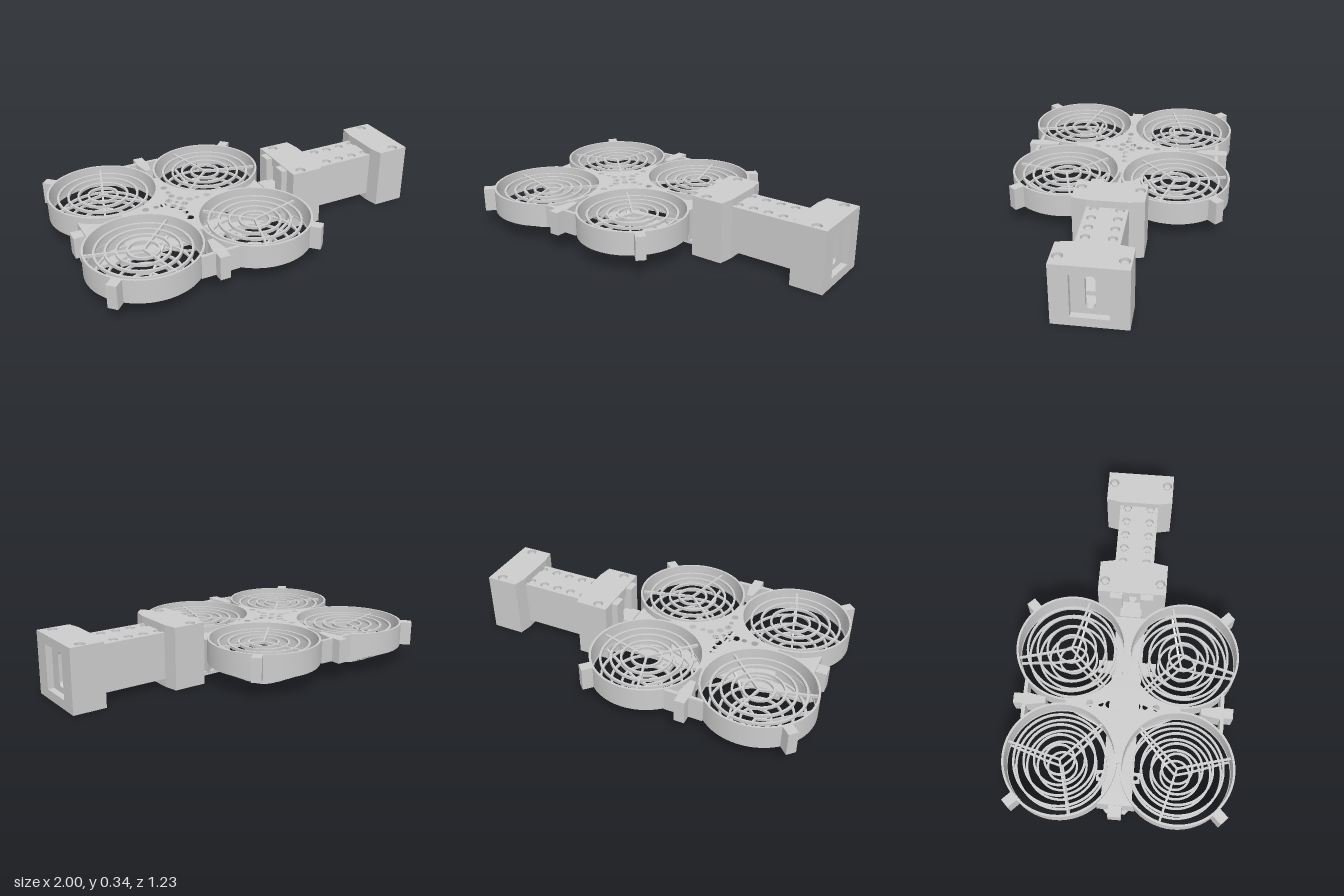
import * as THREE from 'three';
import { toCreasedNormals } from 'three/addons/utils/BufferGeometryUtils.js';

const MID = -0.3825, DX = 0.3125, DZ = 0.312, R = 0.305;

export function createModel() {
  const model = new THREE.Group();
  const mat = new THREE.MeshStandardMaterial({ color: 0xcccccc });

  const add = (geo, name, x = 0, y = 0, z = 0, parent = model) => {
    const m = new THREE.Mesh(geo, mat);
    m.name = name;
    m.position.set(x, y, z);
    parent.add(m);
    return m;
  };
  // box given by its limits on each axis
  const block = (name, x0, x1, y0, y1, z0, z1) =>
    add(new THREE.BoxGeometry(x1 - x0, y1 - y0, z1 - z0), name, (x0 + x1) / 2, (y0 + y1) / 2, (z0 + z1) / 2);
  // counter-clockwise outline
  const polygon = pts => {
    const v = pts.map(p => new THREE.Vector2(...p));
    return new THREE.Shape(THREE.ShapeUtils.isClockWise(v) ? v.reverse() : v);
  };
  const hole = (shape, x, z, r) => {
    const p = new THREE.Path();
    p.absarc(x, -z, r, 0, Math.PI * 2, true);
    shape.holes.push(p);
  };
  // horizontal plate from a plan outline
  const plate = (name, shape, y0, y1) => {
    const g = new THREE.ExtrudeGeometry(shape, { depth: y1 - y0, bevelEnabled: false, curveSegments: 24 });
    g.rotateX(-Math.PI / 2);
    return add(g, name, 0, y0, 0);
  };
  // ring of rectangular section
  const ringGeo = (ri, ro, y0, y1) => toCreasedNormals(new THREE.LatheGeometry(
    [[ri, y0], [ro, y0], [ro, y1], [ri, y1], [ri, y0]].map(p => new THREE.Vector2(...p)), 64), 0.6);

  // ducts with a flat grille above and a conical one below
  const wall = ringGeo(0.293, R, 0.105, 0.235);
  const radii = [0.08, 0.135, 0.19, 0.245];
  const coneRings = [...radii, 0.296].map(r => {
    const y = Math.max(0, (r - 0.085) * 0.5);
    return ringGeo(r - 0.006, r + 0.006, y, y + 0.013);
  });
  const topRings = radii.map(r => ringGeo(r - 0.006, r + 0.006, 0.197, 0.212));
  const spokeGeo = pts => {
    const g = new THREE.ExtrudeGeometry(polygon(pts), { depth: 0.012, bevelEnabled: false });
    g.translate(0, 0, -0.006);
    return g;
  };
  const coneSpoke = spokeGeo([[0, 0], [0.085, 0], [0.297, 0.1], [0.297, 0.116], [0.08, 0.014], [0, 0.014]]);
  const topSpoke = spokeGeo([[0, 0.197], [0.296, 0.197], [0.296, 0.212], [0, 0.212]]);
  for (const sx of [-1, 1]) for (const sz of [-1, 1]) {
    const duct = new THREE.Group();
    duct.name = 'duct';
    duct.position.set(MID + sx * DX, 0, sz * DZ);
    model.add(duct);
    add(wall, 'ductWall', 0, 0, 0, duct);
    coneRings.forEach(g => add(g, 'lowerGrilleRing', 0, 0, 0, duct));
    topRings.forEach(g => add(g, 'upperGrilleRing', 0, 0, 0, duct));
    for (let i = 0; i < 3; i++) {
      const a = -sz * ((sx < 0 ? 75 : 105) + i * 120) * Math.PI / 180;
      add(coneSpoke, 'lowerGrilleSpoke', 0, 0, 0, duct).rotation.y = a;
      add(topSpoke, 'upperGrilleSpoke', 0, 0, 0, duct).rotation.y = a;
    }
    // clip on the outer corner, hollow underneath
    const body = polygon([[-0.035, -0.027], [0.035, -0.027], [0.035, 0.027], [-0.035, 0.027]]);
    const socket = body.clone();
    socket.holes.push(new THREE.Path([[-0.01, -0.015], [-0.01, 0.015], [0.022, 0.015], [0.022, -0.015]]
      .map(p => new THREE.Vector2(...p))));
    for (const [shape, y0, y1] of [[socket, 0.105, 0.2], [body, 0.2, 0.235]]) {
      const clip = plate('cornerClip', shape, y0, y1);
      duct.add(clip);
      clip.position.set(sx * 0.232, y0, sz * 0.232);
      clip.rotation.y = -Math.atan2(sz, sx);
    }
  }

  // star plate filling the gap between the four ducts
  const star = new THREE.Shape();
  [[1, 1, 2], [1, -1, 1], [-1, -1, 0], [-1, 1, 3]].forEach(([sx, sz, q]) =>
    star.absarc(MID + sx * DX, sz * DZ, 0.301, q * Math.PI / 2, (q + 1) * Math.PI / 2, false));
  const c = 0.032;
  [[c, c], [-c, c], [c, -c], [-c, -c], [0, 0, 0.012], [0.075, 0], [-0.075, 0], [0, 0.075], [0, -0.075],
    [0, 0.12, 0.014], [0, -0.12, 0.014], [0.12, 0, 0.014], [-0.12, 0, 0.014],
    [0, 0.18], [0, -0.18], [0.18, 0], [-0.18, 0]]
    .forEach(([x, z, r = 0.019]) => hole(star, MID + x, z, r));
  plate('centrePlate', star, 0.205, 0.235);

  // wedges between duct pairs at both ends of the frame
  for (const s of [-1, 1]) {
    const outline = [], n = 12;
    const half = t => DZ - Math.sqrt(0.301 ** 2 - (t * 0.215) ** 2);
    for (let i = 0; i <= n; i++) outline.push([s * 0.215 * i / n, half(i / n)]);
    for (let i = n; i >= 0; i--) outline.push([s * 0.215 * i / n, -half(i / n)]);
    plate('endWedge', polygon(outline.map(([x, z]) => [MID + s * DX + x, z])), 0.015, 0.2);
  }
  block('nose', -0.97, -0.89, 0.07, 0.19, -0.035, 0.035);

  // bottom slab with side tabs
  plate('bottomSlab', polygon([[-0.93, -0.05], [-0.89, -0.085], [0.24, -0.085], [0.24, 0.085],
    [-0.89, 0.085], [-0.93, 0.05]]), 0, 0.02);
  for (const s of [-1, 1]) {
    for (const [x, w, z] of [[-0.73, 0.028, 0.12], [-0.1, 0.036, 0.165]]) {
      const tab = polygon([[x - w, s * 0.07], [x + w, s * 0.07], [x + w, s * z], [x - w, s * z]]);
      hole(tab, x, -s * (z - 0.025), 0.014);
      plate('sideTab', tab, 0.001, 0.03);
    }
    // side bracket and cross bar linking neighbouring ducts
    plate('sideBracket', polygon([[0.016, 0.42], [0.036, 0.53], [0.028, 0.535], [0.028, 0.595],
      [-0.028, 0.595], [-0.028, 0.535], [-0.036, 0.53], [-0.016, 0.42]]
      .map(([x, z]) => [MID + x, s * z])), 0.105, 0.235);
    block('crossBar', MID - 0.105, MID + 0.105, 0.107, 0.233, s * 0.535 - 0.01, s * 0.535 + 0.01);
    // pair of curved struts from the slab up to the duct joint
    for (const k of [-1, 1]) {
      const curve = new THREE.CatmullRomCurve3([[0.1, 0.01, 0.07], [0.06, 0.03, 0.15], [0.025, 0.07, 0.24],
        [0.005, 0.13, 0.31]].map(([x, y, z]) => new THREE.Vector3(MID + k * x, y, s * z)));
      add(new THREE.TubeGeometry(curve, 16, 0.009, 8), 'jointStrut');
    }
    block('mountCheek', 0.2, 0.24, 0, 0.335, s * 0.085 - 0.035, s * 0.085 + 0.035);
  }
  block('mountBlock', 0.15, 0.24, 0.015, 0.2, -0.06, 0.06);

  // hollow end blocks, chamfered towards the grip
  const endBlock = (outer, edge, tip, boltX, plateX, name) => {
    const outline = polygon([[outer, -0.19], [edge, -0.19], [tip, -0.11], [tip, 0.11], [edge, 0.19], [outer, 0.19]]);
    plate(name + 'Base', outline, 0, 0.05);
    const lid = outline.clone();
    for (const s of [-1, 1]) {
      hole(lid, boltX, s * 0.155, 0.027);
      plate(name + 'Side', polygon([[outer, s * 0.095], [tip, s * 0.095], [tip, s * 0.11],
        [edge, s * 0.19], [outer, s * 0.19]]), 0.05, 0.29);
      add(new THREE.CylinderGeometry(0.017, 0.017, 0.04, 20), name + 'Bolt', boltX, 0.31, s * 0.155);
    }
    plate(name + 'Lid', lid, 0.29, 0.34);
    // recessed panel with a rounded slot
    const panel = polygon([[-0.095, 0.05], [0.095, 0.05], [0.095, 0.29], [-0.095, 0.29]]);
    const slot = new THREE.Path();
    slot.absarc(0, 0.242, 0.025, 0, Math.PI, false);
    slot.absarc(0, 0.105, 0.025, Math.PI, Math.PI * 2, false);
    slot.closePath();
    panel.holes.push(slot);
    const g = new THREE.ExtrudeGeometry(panel, { depth: 0.03, bevelEnabled: false });
    g.rotateY(Math.PI / 2);
    add(g, name + 'SlotPanel', plateX, 0, 0);
  };
  endBlock(0.235, 0.415, 0.43, 0.3, 0.27, 'innerBlock');
  endBlock(1, 0.82, 0.805, 0.93, 0.935, 'outerBlock');

  // hollow grip with a perforated top
  const top = polygon([[0.4, -0.11], [0.83, -0.11], [0.83, 0.11], [0.4, 0.11]]);
  for (let i = 0; i < 5; i++) for (const s of [-1, 1]) {
    const x = 0.445 + i * 0.0865;
    hole(top, x, s * 0.067, 0.024);
    add(new THREE.CylinderGeometry(0.015, 0.015, 0.02, 20), 'gripPin', x, 0.282, s * 0.067);
  }
  plate('gripTop', top, 0.27, 0.3);
  block('gripUnderTop', 0.4, 0.83, 0.268, 0.274, -0.11, 0.11);
  block('gripBottom', 0.4, 0.83, 0.045, 0.075, -0.11, 0.11);
  for (const s of [-1, 1]) block('gripSide', 0.4, 0.83, 0.075, 0.27, s * 0.095 - 0.015, s * 0.095 + 0.015);

  return model;
}
